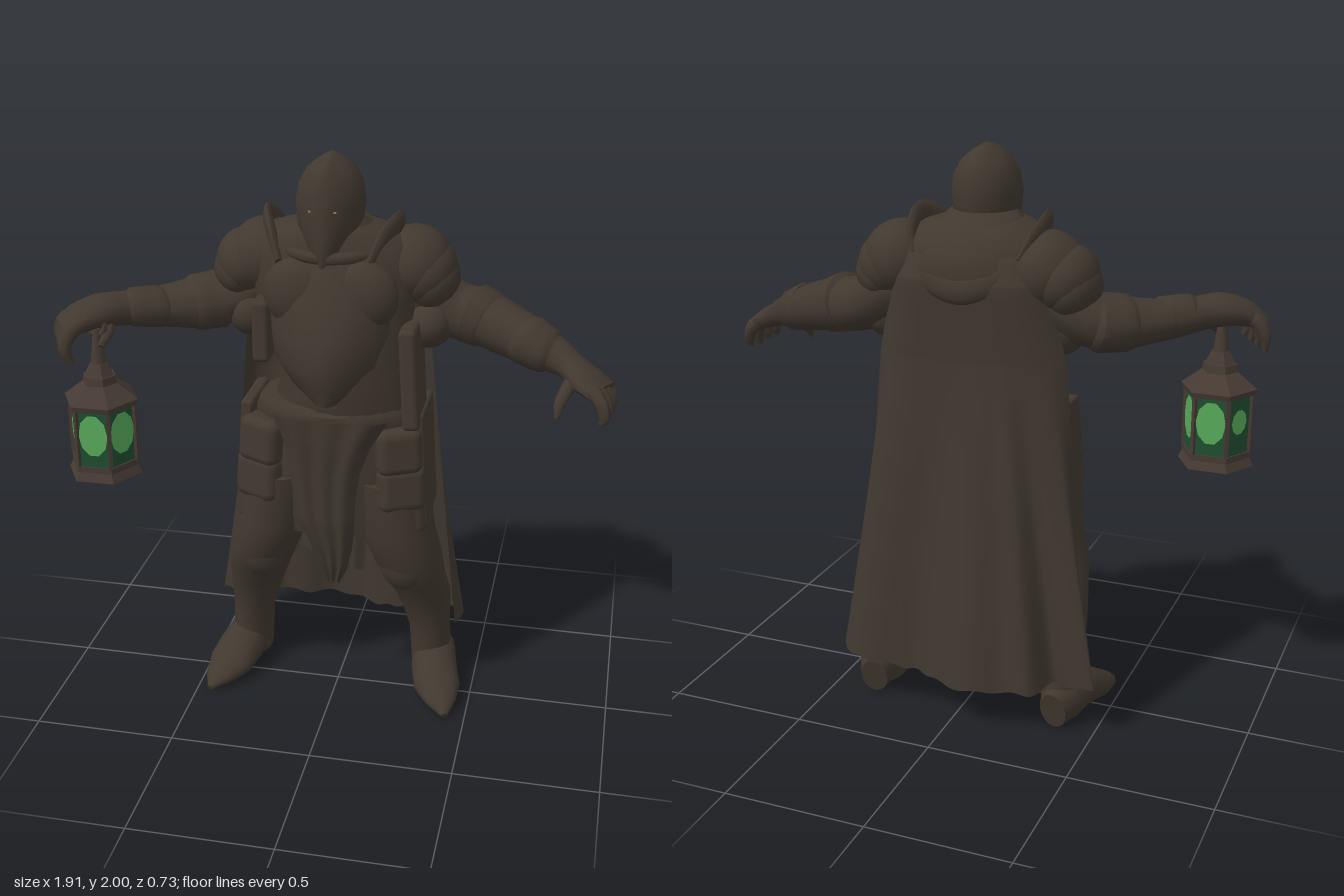
import * as THREE from 'three';
import { toCreasedNormals } from 'three/addons/utils/BufferGeometryUtils.js';
import { RoundedBoxGeometry } from 'three/addons/geometries/RoundedBoxGeometry.js';

const V = (x, y, z) => new THREE.Vector3(x, y, z);
const lerp = THREE.MathUtils.lerp;

// Skin a list of rings (arrays of Vector3) and close both ends
function skin(rings, crease = 0.8) {
  const n = rings[0].length, pos = [], idx = [];
  rings.forEach(r => r.forEach(p => pos.push(p.x, p.y, p.z)));
  for (let i = 0; i < rings.length - 1; i++)
    for (let j = 0; j < n; j++) {
      const a = i * n + j, b = i * n + (j + 1) % n;
      idx.push(a, a + n, b, b, a + n, b + n);
    }
  [0, rings.length - 1].forEach((r, end) => {
    const c = rings[r].reduce((s, p) => s.add(p), V(0, 0, 0)).divideScalar(n), k = pos.length / 3;
    pos.push(c.x, c.y, c.z);
    for (let j = 0; j < n; j++) {
      const a = r * n + j, b = r * n + (j + 1) % n;
      if (end) idx.push(k, b, a); else idx.push(k, a, b);
    }
  });
  const g = new THREE.BufferGeometry();
  g.setAttribute('position', new THREE.Float32BufferAttribute(pos, 3));
  g.setIndex(idx);
  return toCreasedNormals(g, crease);
}

// Horizontal sections, bottom to top: [x, y, z, rx, rz, front ridge]
const loft = (secs, n = 28) => skin(secs.map(([x, y, z, rx, rz, ridge = 0]) =>
  Array.from({ length: n }, (_, j) => {
    const a = j / n * Math.PI * 2, s = Math.sin(a);
    return V(x + rx * Math.cos(a), y, z + rz * s + ridge * Math.max(0, s) ** 6);
  })));

// Sections along a path: [x, y, z, radius in the upright plane, sideways radius]
function limb(secs, n = 14, steps = 3) {
  const pts = secs.map(s => V(s[0], s[1], s[2])), curve = new THREE.CatmullRomCurve3(pts);
  const all = pts[pts.length - 1].clone().sub(pts[0]), H = all.cross(V(0, 1, 0)).normalize();
  const m = (secs.length - 1) * steps, rings = [];
  for (let i = 0; i <= m; i++) {
    const t = i / m, f = t * (secs.length - 1), k = Math.min(Math.floor(f), secs.length - 2), w = f - k;
    const ra = lerp(secs[k][3], secs[k + 1][3], w), rb = lerp(secs[k][4], secs[k + 1][4], w);
    const P = curve.getPoint(t), T = curve.getTangent(t);
    const B = H.clone().addScaledVector(T, -H.dot(T)).normalize(), N = T.clone().cross(B);
    rings.push(Array.from({ length: n }, (_, j) => {
      const a = j / n * Math.PI * 2;
      return P.clone().addScaledVector(N, ra * Math.cos(a)).addScaledVector(B, rb * Math.sin(a));
    }));
  }
  return skin(rings);
}

// Hanging cloth; rows are [y, centre x, half width, middle z, edge z], shape(u, v) gives [dx, dy, dz]
function hanging(rows, nu, nv, shape) {
  const g = new THREE.PlaneGeometry(2, 1, nu, nv), p = g.attributes.position, last = rows.length - 1;
  for (let i = 0; i < p.count; i++) {
    const u = p.getX(i), v = .5 - p.getY(i), f = v * last, k = Math.min(Math.floor(f), last - 1);
    const [y, cx, w, zm, ze] = rows[k].map((a, c) => lerp(a, rows[k + 1][c], f - k));
    const [dx, dy, dz] = shape(u, v);
    p.setXYZ(i, cx + w * u + dx, y + dy, ze + (zm - ze) * (1 - Math.abs(u) ** 5) + dz);
  }
  g.computeVertexNormals();
  return g;
}

// Cape whose folds grow towards a wavy hem
function capeGeometry() {
  const hem = new THREE.CatmullRomCurve3([[-.46, -.2], [-.51, -.25], [-.43, -.25], [-.36, -.22], [-.3, -.325], [-.2, -.325], [-.1, -.36],
    [.0, -.345], [.09, -.3], [.15, -.285], [.22, -.295], [.3, -.31], [.38, -.3], [.44, -.24], [.42, -.13]].map(([x, z]) => V(x, 0, z)));
  return hanging([[1.75, -.02, .17, -.19, -.1], [1.66, -.03, .25, -.26, -.16], [1.58, -.035, .28, -.295, -.19],
    [1.3, -.04, .335, -.27, -.19], [.2, 0, 0, 0, 0]], 90, 32, (u, v) => {
    const k = Math.max(0, (v - .75) / .25), h = hem.getPoint((u + 1) / 2);
    return [k * h.x, k ** 6 * (.055 * u * u - .04 + .006 * Math.sin(u * 31)), k * h.z];
  });
}

export function createModel() {
  const root = new THREE.Group();
  const mat = (name, color) => new THREE.MeshStandardMaterial({ name, color });
  const armor = mat('dark armor', 0x41382f), cape = mat('cape cloth', 0x40382f), iron = mat('lantern iron', 0x463a33);
  const darkGlass = mat('dark green glass', 0x1f4d30), glow = mat('green glow', 0x58a95a), eye = mat('eye glint', 0x7d8a5a);
  cape.side = THREE.DoubleSide;
  const add = (name, geo, m = armor, parent = root) => {
    const mesh = new THREE.Mesh(geo, m);
    mesh.name = name;
    parent.add(mesh);
    return mesh;
  };
  const ball = (name, x, y, z, rx, ry, rz) => {
    const b = add(name, new THREE.SphereGeometry(1, 24, 16));
    b.position.set(x, y, z);
    b.scale.set(rx, ry, rz);
    return b;
  };
  const plate = (name, x, y, z, w, h, d) => {
    const b = add(name, new RoundedBoxGeometry(w, h, d, 3, Math.min(w, h, d) * .3));
    b.position.set(x, y, z);
    return b;
  };

  // Helmet with a front ridge
  add('helmet', loft([[-.03, 1.64, 0, .05, .1, .02], [-.03, 1.7, -.015, .085, .125, .02], [-.03, 1.76, -.024, .108, .134, .018],
    [-.03, 1.84, -.026, .116, .142, .012], [-.03, 1.9, -.03, .107, .135, .012], [-.03, 1.945, -.03, .082, .11, .025],
    [-.03, 1.972, -.03, .052, .08, .03], [-.03, 1.99, -.03, .024, .045, .01], [-.03, 2, -.03, .005, .01]], 32));
  for (const s of [1, -1]) add('eye', new THREE.BoxGeometry(.012, .006, .008), eye).position.set(-.03 + s * .04, 1.835, .112);

  // Torso, breastplate and belt
  add('torso', loft([[0, .98, -.03, .28, .165], [.03, 1.2, -.03, .24, .18, .02], [.01, 1.33, -.04, .25, .2, .02],
    [-.02, 1.5, -.06, .28, .2], [-.025, 1.62, -.09, .3, .2], [-.025, 1.7, -.085, .27, .18], [-.03, 1.745, -.07, .2, .15], [-.03, 1.77, -.05, .12, .12]]));
  add('breastplate', loft([[-.01, 1.19, .1, .06, .08, .02], [-.01, 1.24, .06, .14, .12, .03], [-.01, 1.32, .02, .205, .175, .04],
    [-.01, 1.42, 0, .225, .185, .03], [-.01, 1.53, -.01, .225, .18, .01], [-.01, 1.62, -.02, .2, .155], [-.02, 1.69, -.03, .15, .13]]));
  for (const s of [1, -1]) ball('chestPlate', -.01 + s * .11, 1.55, .08, .12, .12, .07);
  add('cowl', loft([[-.02, 1.54, -.1, .26, .19], [-.025, 1.62, -.1, .255, .21], [-.025, 1.68, -.1, .225, .18],
    [-.03, 1.73, -.08, .17, .155], [-.03, 1.79, -.05, .11, .12]]));
  const collar = add('collarRoll', new THREE.TorusGeometry(.175, .022, 10, 36));
  collar.position.set(-.025, 1.7, -.055);
  collar.rotation.x = Math.PI / 2 + .15;
  collar.scale.y = .92;
  [[.21, 1.66, 1.56, -.29], [.17, 1.71, 1.64, -.26]].forEach(([w, top, low, z]) => add('cowlFold', limb([
    [-.03 - w, top, -.17, .02, .02], [-.03 - w * .6, lerp(top, low, .6), z + .03, .045, .025], [-.03, low, z, .045, .025],
    [-.03 + w * .6, lerp(top, low, .6), z + .03, .045, .025], [-.03 + w, top, -.17, .02, .02]], 12, 5)));
  add('belt', loft([[0, 1.08, -.03, .295, .18], [0, 1.1, -.03, .3, .188, .015], [0, 1.14, -.03, .28, .188, .015], [0, 1.16, -.03, .265, .18]]));
  plate('coatFlap', .262, 1.27, .02, .06, .36, .2).rotation.z = .06;
  plate('coatFlap', -.245, 1.41, .03, .06, .22, .18);

  // Coat skirt, hanging cloths and cape
  add('skirt', loft([[-.01, .66, -.03, .295, .14], [-.01, .74, -.03, .325, .155], [-.01, .95, -.03, .318, .175], [0, 1.12, -.03, .285, .17]]));
  add('tabard', hanging([[1.13, 0, .2, .185, .15], [1.03, -.01, .15, .18, .15], [.93, -.02, .125, .172, .15], [.83, -.02, .11, .168, .145],
    [.73, -.015, .1, .165, .14], [.63, 0, .075, .15, .12], [.54, .005, .05, .13, .11], [.46, 0, .02, .1, .09]], 20, 28,
  (u, v) => [0, v > .6 ? .03 * Math.sin(u * 9 + 1) * (v - .6) : 0, .006 * Math.cos(u * 10)]), cape);
  add('tornCloth', hanging([[.75, -.02, .16, -.05, -.06], [.6, -.03, .155, -.05, -.06], [.48, -.03, .15, -.05, -.06]], 24, 6,
    (u, v) => [0, v * (.025 * Math.sin(u * 7) - .02 * u), .01 * Math.cos(u * 12)]), cape);
  add('cape', capeGeometry(), cape);

  for (const s of [1, -1]) {
    const o = s < 0 ? -.02 : 0, X = x => s * x + o;
    // Thigh plates and pouches
    [[.225, 1.01, .085, .16, .17, .12, .12], [.235, .87, .08, .17, .17, .12, .1], [.24, .755, .06, .16, .15, .13, .1]].forEach(([x, y, z, w, h, d, r]) => {
      plate('thighPlate', X(x), y, z, w, h, d).rotation.set(-.06, s * .4, s * r * .5);
    });
    plate('hipPlate', X(.3), .93, -.04, .045, .42, .24).rotation.z = s * .06;

    // Legs and pointed boots
    add('leg', loft([[.335, .04, -.12, .07, .095], [.332, .16, -.115, .075, .1], [.328, .22, -.108, .075, .097], [.32, .28, -.1, .083, .1],
      [.305, .37, -.085, .1, .112], [.28, .46, -.035, .11, .118], [.255, .56, 0, .125, .13], [.215, .68, .005, .135, .14],
      [.19, .88, 0, .13, .15]].map(a => [X(a[0]), ...a.slice(1)])));
    ball('kneePlate', X(.255), .57, .04, .1, .13, .085);
    add('boot', limb([[X(.335), .07, -.225, .07, .05], [X(.345), .085, -.15, .085, .078], [X(.36), .08, -.03, .08, .085],
      [X(.385), .052, .06, .052, .085], [X(.41), .032, .13, .032, .055], [X(.43), .012, .185, .012, .012]], 16));

    // Layered shoulder plates and upright flanges
    const out = s < 0 ? .02 : -.02;
    ball('pauldron', X(.255) - (s > 0 ? .015 : 0), 1.615, -.115, .13, .13, .15).rotation.z = -s * .4;
    [[.3, 1.59, .105, .115, .142], [.325, 1.56, .09, .1, .13]].forEach(([x, y, a, b, c]) => {
      ball('shoulderLame', X(x) + s * out, y, -.115, a, b, c).rotation.z = -s * .5;
    });
    ball('sleeve', X(.3), 1.42, -.09, .085, .09, .11);
    add('shoulderFlange', limb([[-.035 + s * .15, 1.65, .08, .02, .012], [-.035 + s * .19, 1.73, .01, .04, .018],
      [-.035 + s * .225, 1.765, -.08, .04, .016], [-.035 + s * .21, 1.72, -.18, .035, .016], [-.035 + s * .18, 1.66, -.23, .015, .01]], 10));
  }

  // Left arm, reaching out
  add('leftArm', limb([[.24, 1.54, -.12, .1, .1], [.38, 1.45, -.14, .095, .11], [.47, 1.435, -.125, .095, .11], [.56, 1.41, -.09, .088, .1],
    [.66, 1.38, -.045, .078, .085], [.74, 1.355, -.01, .06, .065], [.79, 1.335, .02, .045, .06], [.85, 1.305, .065, .04, .085], [.9, 1.28, .09, .028, .085]]));
  add('leftElbowCuff', limb([[.42, 1.45, -.135, .07, .08], [.44, 1.445, -.13, .105, .12], [.5, 1.425, -.115, .097, .11], [.53, 1.415, -.1, .08, .09]]));
  add('leftWristCuff', limb([[.62, 1.4, -.06, .08, .088], [.64, 1.39, -.05, .086, .098], [.71, 1.365, -.022, .075, .085], [.73, 1.36, -.015, .06, .07]]));
  for (let i = 0; i < 4; i++) {
    const z = .01 + i * .054;
    add('leftFinger', limb([[.87, 1.3, .03 + i * .038, .024, .024], [.912 - i * .004, 1.27, z, .024, .023],
      [.93 - i * .006, 1.225, z + .006, .021, .02], [.928 - i * .008, 1.19 + .006 * Math.abs(i - 1), z + .01, .01, .01]], 8));
  }
  add('leftThumb', limb([[.81, 1.32, .06, .026, .026], [.785, 1.29, .115, .024, .024], [.765, 1.25, .16, .02, .02], [.76, 1.21, .18, .009, .009]], 8));

  // Right arm, holding the lantern
  add('rightArm', limb([[-.28, 1.53, -.12, .1, .1], [-.4, 1.46, -.1, .09, .11], [-.5, 1.445, -.05, .092, .11], [-.58, 1.445, .0, .075, .095],
    [-.66, 1.45, .055, .062, .08], [-.73, 1.46, .11, .057, .068], [-.79, 1.465, .165, .055, .085], [-.85, 1.45, .215, .045, .09], [-.895, 1.425, .245, .03, .08]]));
  add('rightElbowCuff', limb([[-.42, 1.455, -.1, .07, .09], [-.44, 1.45, -.09, .1, .12], [-.52, 1.445, -.04, .095, .115], [-.55, 1.445, -.02, .07, .09]]));
  add('rightWristCuff', limb([[-.61, 1.45, .02, .06, .075], [-.625, 1.45, .035, .072, .09], [-.7, 1.46, .09, .066, .078], [-.72, 1.46, .1, .05, .06]]));
  for (let i = 0; i < 4; i++) {
    const t = i / 3, L = (a, b) => lerp(a, b, t);
    add('rightFinger', limb([[L(-.85, -.8), 1.46, L(.17, .26), .026, .026], [L(-.91, -.84), 1.435, L(.165, .32), .026, .026],
      [L(-.937, -.85), 1.39, L(.165, .345), .023, .023], [L(-.94, -.83), 1.335, L(.165, .345), .01, .01]], 8));
  }
  add('rightThumb', limb([[-.76, 1.44, .17, .026, .026], [-.745, 1.41, .215, .022, .022], [-.76, 1.37, .25, .012, .012]], 8));

  // Six-sided lantern
  const lantern = new THREE.Group();
  lantern.name = 'lantern';
  lantern.position.set(-.78, 0, .23);
  root.add(lantern);
  const hex = (name, r1, r0, y0, y1, m = iron) => {
    const g = new THREE.CylinderGeometry(r1, r0, y1 - y0, 6).toNonIndexed();
    g.computeVertexNormals();
    const h = add(name, g, m, lantern);
    h.position.y = (y0 + y1) / 2;
    h.rotation.y = Math.PI / 6;
  };
  hex('lanternBase', .118, .133, .905, .935);
  hex('lanternSill', .12, .12, .935, .957);
  hex('lanternGlass', .114, .114, .957, 1.165, darkGlass);
  hex('lanternEave', .132, .126, 1.16, 1.18);
  hex('lanternRoof', .062, .132, 1.18, 1.235);
  hex('lanternNeck', .058, .062, 1.235, 1.262);
  hex('lanternCap', .03, .052, 1.262, 1.305);
  for (let i = 0; i < 6; i++) {
    const a = i * Math.PI / 3, b = a + Math.PI / 6, small = i > 3;
    const post = add('lanternPost', new THREE.BoxGeometry(.014, .21, .014), iron, lantern);
    post.position.set(.114 * Math.sin(b), 1.06, .114 * Math.cos(b));
    post.rotation.y = b;
    const pane = add('lanternGlow', new THREE.CircleGeometry(1, 10), glow, lantern);
    pane.scale.set(small ? .036 : .052, small ? .045 : .077, 1);
    pane.position.set(.1005 * Math.sin(a), 1.073, .1005 * Math.cos(a));
    pane.rotation.y = a;
  }
  const stem = add('lanternStem', new THREE.CylinderGeometry(.012, .028, .13, 10), iron, lantern);
  stem.position.y = 1.36;
  const ring = add('lanternRing', new THREE.TorusGeometry(.03, .01, 8, 18), iron, lantern);
  ring.position.y = 1.435;
  return root;
}
